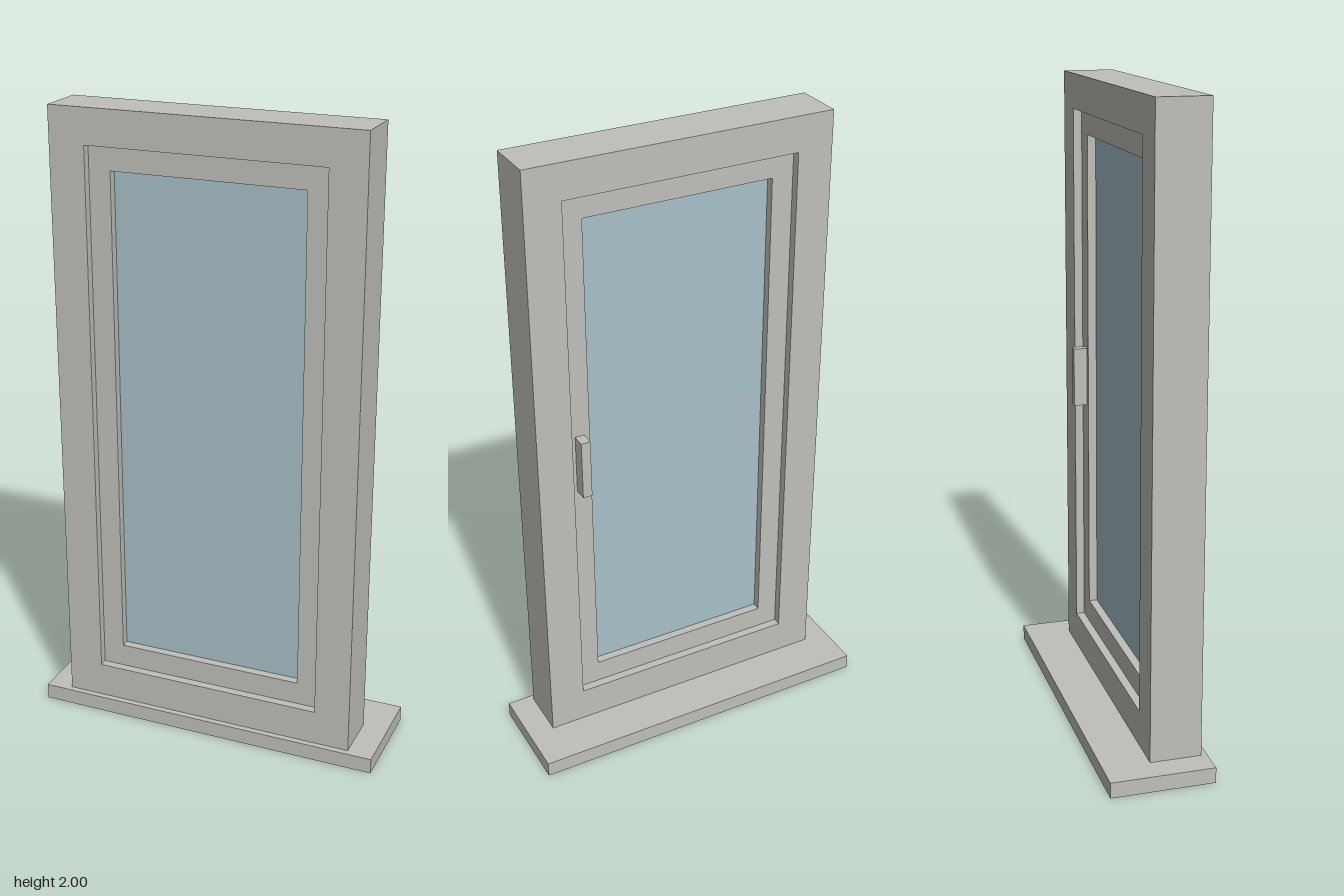
import * as THREE from 'three';

export function createModel() {
  const group = new THREE.Group();
  group.name = 'window';
  const paint = new THREE.MeshStandardMaterial({ color: 0xbfbfba });
  paint.name = 'warm grey paint';
  const glass = new THREE.MeshStandardMaterial({ color: 0xa7c0c8 });
  glass.name = 'pale blue glass';

  const add = (name, geometry, material) => {
    const mesh = new THREE.Mesh(geometry, material);
    mesh.name = name;
    group.add(mesh);
  };

  // Box given by its lower and upper limits
  const box = (name, [x0, y0, z0], [x1, y1, z1], material) => {
    const geometry = new THREE.BoxGeometry(x1 - x0, y1 - y0, z1 - z0);
    geometry.translate((x0 + x1) / 2, (y0 + y1) / 2, (z0 + z1) / 2);
    add(name, geometry, material);
  };

  // Rectangular surround with an opening, extruded from z0 to z1
  const outline = (Type, x, y0, y1) => new Type([
    new THREE.Vector2(-x, y0), new THREE.Vector2(x, y0),
    new THREE.Vector2(x, y1), new THREE.Vector2(-x, y1),
  ]);
  const surround = (name, outer, inner, z0, z1) => {
    const shape = outline(THREE.Shape, ...outer);
    shape.holes.push(outline(THREE.Path, ...inner));
    const geometry = new THREE.ExtrudeGeometry(shape, { depth: z1 - z0, bevelEnabled: false });
    geometry.translate(0, 0, z0);
    add(name, geometry, paint);
  };

  const frameOpening = [0.373, 0.163, 1.89];
  const sashOpening = [0.304, 0.237, 1.815];

  box('sill', [-0.569, 0, -0.163], [0.569, 0.05, 0.163], paint);
  surround('frame', [0.487, 0.05, 2], frameOpening, -0.017, 0.144);
  surround('sash', frameOpening, sashOpening, 0.01, 0.117);
  box('pane', [-0.304, 0.237, 0.037], [0.304, 1.815, 0.09], glass);
  // Handle on the inner (back) face of the sash
  box('handle', [0.322, 0.93, -0.033], [0.352, 1.122, 0.01], paint);

  return group;
}
